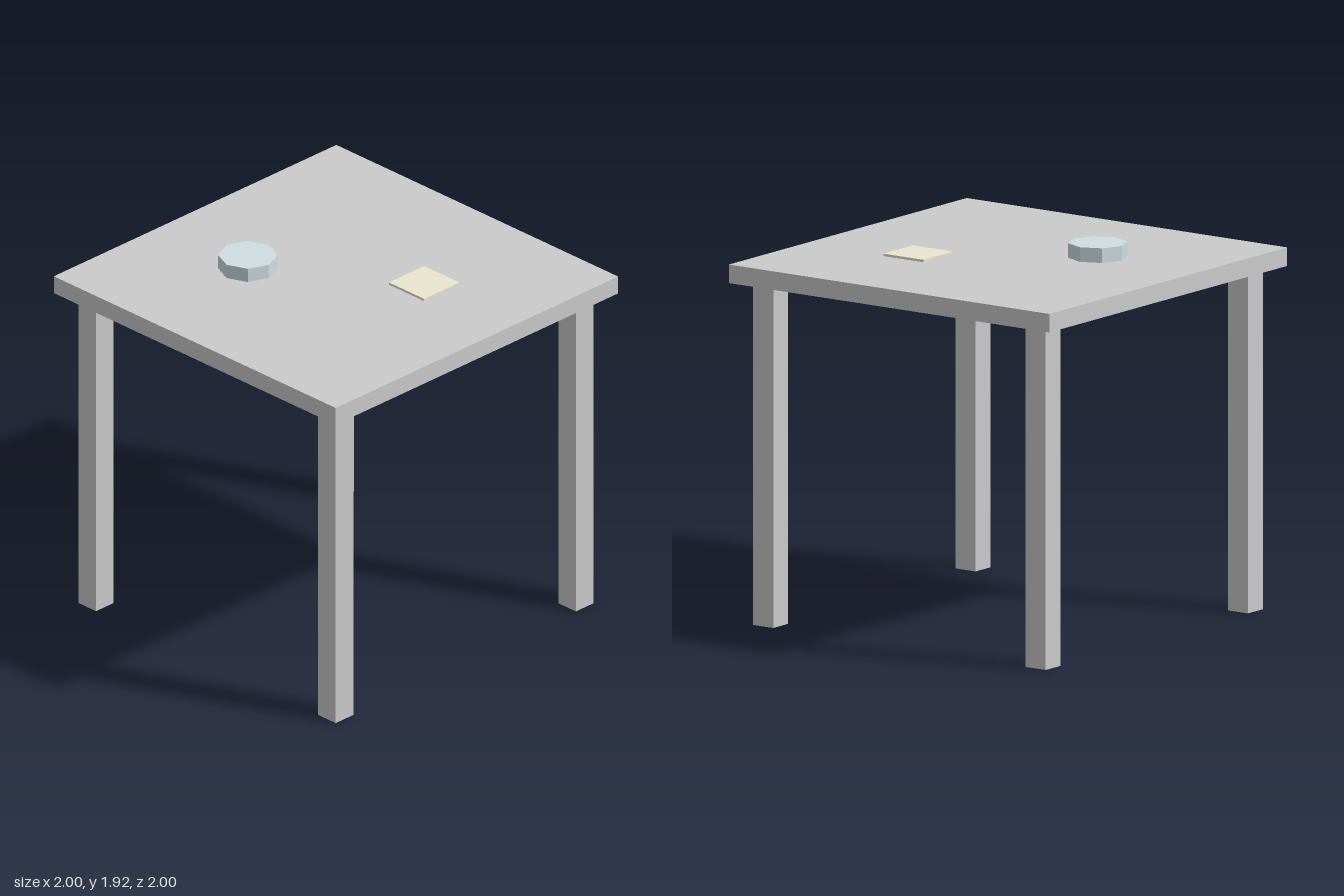
import * as THREE from 'three';

const material = (color) => new THREE.MeshStandardMaterial({ color, flatShading: true });

export function createModel() {
  const model = new THREE.Group();
  model.name = 'table';
  const grey = material(0xcccccc);

  const add = (name, geometry, mat, x, y, z) => {
    const mesh = new THREE.Mesh(geometry, mat);
    mesh.name = name;
    mesh.position.set(x, y, z);
    model.add(mesh);
  };

  // Square slab top
  const legHeight = 1.755, topY = 1.85;
  add('tableTop', new THREE.BoxGeometry(2, topY - legHeight, 2), grey, 0, (topY + legHeight) / 2, 0);

  // Four square legs, inset from the corners
  const legGeometry = new THREE.BoxGeometry(0.125, legHeight, 0.125);
  for (const [zName, z] of [['front', 0.85], ['back', -0.85]]) {
    for (const [xName, x] of [['Left', 0.85], ['Right', -0.85]]) {
      add(`${zName}${xName}Leg`, legGeometry, grey, x, legHeight / 2, z);
    }
  }

  // Octagonal dish and thin square card lying on the top
  add('dish', new THREE.CylinderGeometry(0.15, 0.15, 0.075, 8), material(0xd0dde2), -0.375, topY + 0.0375, 0.25);
  add('card', new THREE.BoxGeometry(0.25, 0.0125, 0.25), material(0xebe6d0), 0.375, topY + 0.00625, -0.25);

  return model;
}
